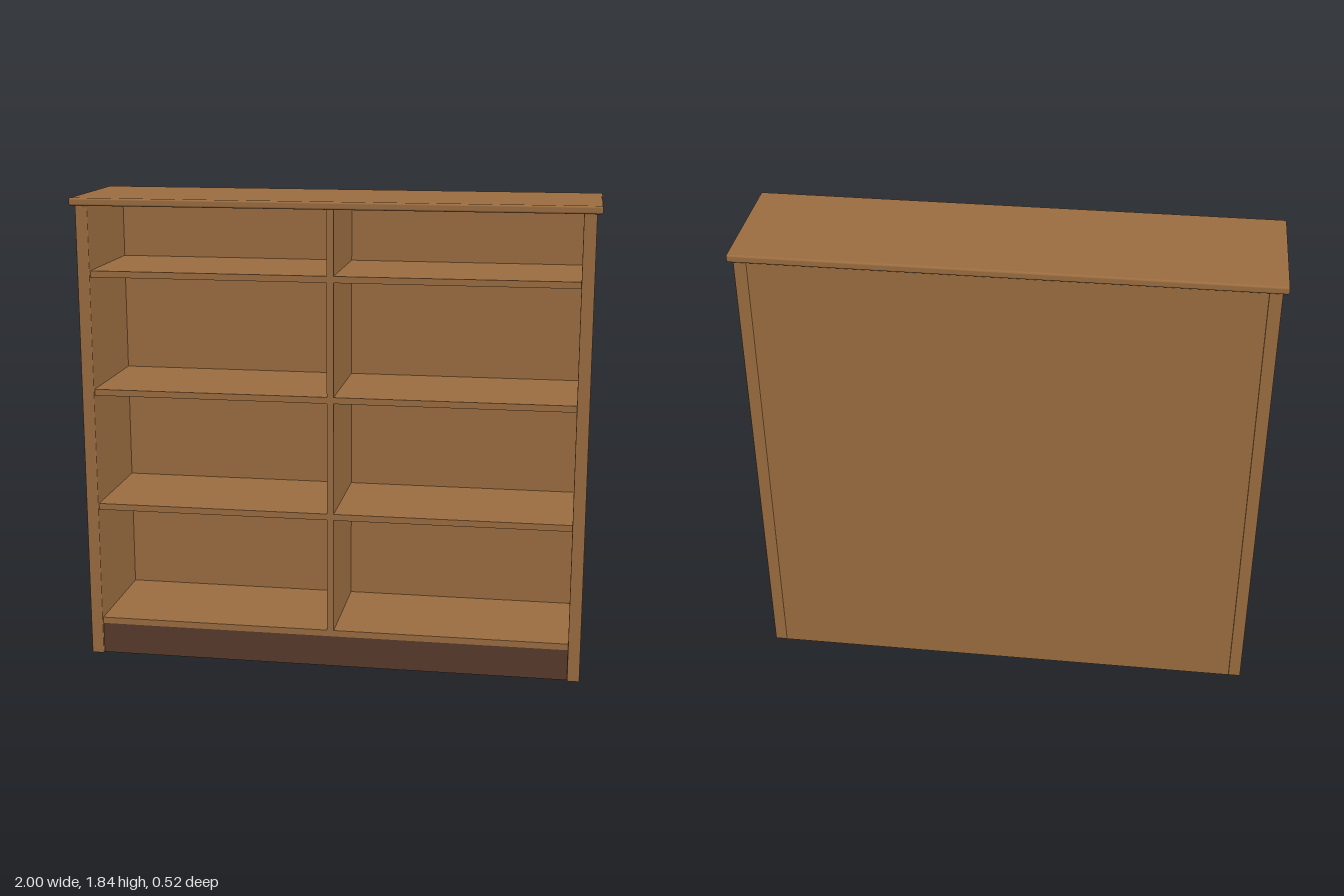
import * as THREE from 'three';
import { RoundedBoxGeometry } from 'three/addons/geometries/RoundedBoxGeometry.js';

export function createModel() {
  const group = new THREE.Group();
  const wood = new THREE.MeshStandardMaterial({ color: 0x9b6d40 });
  wood.name = 'warm wood';
  const darkWood = new THREE.MeshStandardMaterial({ color: 0x573a2d });
  darkWood.name = 'dark wood';

  // Board given by its lower and upper bounds on each axis, with an optional eased edge
  function board(name, [x0, x1], [y0, y1], [z0, z1], material = wood, radius = 0) {
    const size = [x1 - x0, y1 - y0, z1 - z0];
    const geometry = radius
      ? new RoundedBoxGeometry(...size, 3, radius)
      : new THREE.BoxGeometry(...size);
    const mesh = new THREE.Mesh(geometry, material);
    mesh.name = name;
    mesh.position.set((x0 + x1) / 2, (y0 + y1) / 2, (z0 + z1) / 2);
    group.add(mesh);
  }

  const inner = 0.932;      // inside face of the side panels
  const halfDivider = 0.013;
  const under = 1.81;       // underside of the top
  const front = 0.232;      // front of shelves, set back from the sides
  const back = -0.226;      // inside face of the back panel

  // Carcass
  board('top', [-1, 1], [under, 1.84], [-0.26, 0.26], wood, 0.008);
  board('rightSide', [-0.98, -inner], [0, under], [-0.245, 0.245], wood, 0.004);
  board('leftSide', [inner, 0.98], [0, under], [-0.245, 0.245], wood, 0.004);
  board('backPanel', [-inner, inner], [0, under], [-0.243, back]);

  // Base
  board('bottomShelf', [-inner, inner], [0.125, 0.15], [back, front]);
  board('plinth', [-inner, inner], [0, 0.125], [0.208, 0.23], darkWood);

  // Centre divider with shelves on both sides
  board('divider', [-halfDivider, halfDivider], [0.15, under], [back, front]);
  [0.605, 1.07, 1.535].forEach((y, i) => {
    board(`rightShelf${i + 1}`, [-inner, -halfDivider], [y, y + 0.025], [back, front]);
    board(`leftShelf${i + 1}`, [halfDivider, inner], [y, y + 0.025], [back, front]);
  });

  return group;
}
